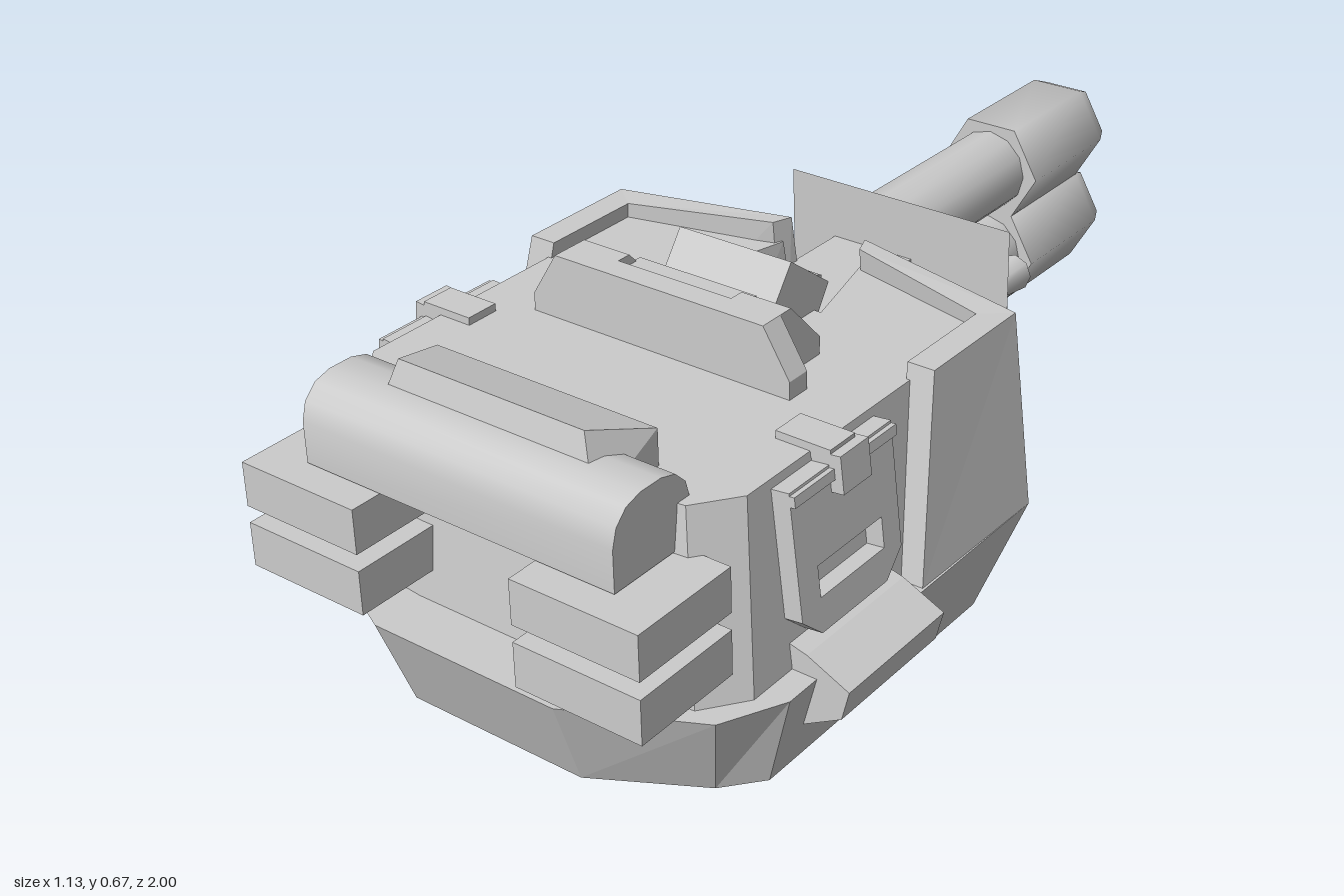
import * as THREE from 'three';
import { toCreasedNormals } from 'three/addons/utils/BufferGeometryUtils.js';

const grey = new THREE.MeshStandardMaterial({ color: 0xcccccc, flatShading: true });
const smoothGrey = new THREE.MeshStandardMaterial({ color: 0xcccccc });

export function createModel() {
  const model = new THREE.Group();

  function add(name, geometry, parent = model, material = grey) {
    const mesh = new THREE.Mesh(geometry, material);
    mesh.name = name;
    parent.add(mesh);
    return mesh;
  }

  // Box given by its limits on each axis
  function box(name, x0, x1, y0, y1, z0, z1, parent) {
    const g = new THREE.BoxGeometry(Math.abs(x1 - x0), y1 - y0, z1 - z0);
    g.translate((x0 + x1) / 2, (y0 + y1) / 2, (z0 + z1) / 2);
    return add(name, g, parent);
  }

  // Outline of [x, z] points set at a height
  const level = (pts, y) => pts.map(([x, z]) => [x, y, z]);
  const mirrored = (pts) => [...pts, ...pts.map(([x, z]) => [-x, z]).reverse()];

  // Closed solid between a lower and an upper ring of [x, y, z] points
  function loft(lower, upper) {
    let lo = lower.map((p) => new THREE.Vector3(...p));
    let up = upper.map((p) => new THREE.Vector3(...p));
    const flat = (ring) => ring.map((p) => new THREE.Vector2(p.x, -p.z));
    if (THREE.ShapeUtils.area(flat(lo)) < 0) {
      lo = lo.reverse();
      up = up.reverse();
    }
    const pos = [];
    const tri = (...ps) => ps.forEach((p) => pos.push(p.x, p.y, p.z));
    lo.forEach((p, i) => {
      const j = (i + 1) % lo.length;
      tri(p, lo[j], up[j]);
      tri(p, up[j], up[i]);
    });
    THREE.ShapeUtils.triangulateShape(flat(up), []).forEach(([a, b, c]) => tri(up[a], up[b], up[c]));
    THREE.ShapeUtils.triangulateShape(flat(lo), []).forEach(([a, b, c]) => tri(lo[c], lo[b], lo[a]));
    const g = new THREE.BufferGeometry();
    g.setAttribute('position', new THREE.Float32BufferAttribute(pos, 3));
    g.computeVertexNormals();
    return g;
  }

  // Profile of [z, y] points extruded along x, with an optional hole
  function extrudeX(pts, x0, x1, hole) {
    const flip = (list) => list.map(([z, y]) => new THREE.Vector2(-z, y));
    const shape = new THREE.Shape(flip(pts));
    if (hole) shape.holes.push(new THREE.Path(flip(hole)));
    const g = new THREE.ExtrudeGeometry(shape, { depth: x1 - x0, bevelEnabled: false });
    return g.rotateY(Math.PI / 2).translate(x0, 0, 0);
  }

  // Profile of [x, y] points extruded along z
  function extrudeZ(pts, z0, z1) {
    const shape = new THREE.Shape(pts.map(([x, y]) => new THREE.Vector2(x, y)));
    return new THREE.ExtrudeGeometry(shape, { depth: z1 - z0, bevelEnabled: false }).translate(0, 0, z0);
  }

  // Turned part pointing along -z; profile of [radius, distance]
  function turned(pts, sides, x, y) {
    const g = new THREE.LatheGeometry(pts.map((p) => new THREE.Vector2(...p)), sides, Math.PI / 2);
    g.rotateX(-Math.PI / 2).translate(x, y, 0);
    return toCreasedNormals(g, 1.1);
  }

  // Lower skirt, flaring upward
  add('lowerSkirt', loft(
    level(mirrored([[0.08, -0.04], [0.45, 0.06], [0.45, 0.7], [0.39, 0.77], [0.19, 0.88]]), 0),
    level(mirrored([[0.08, -0.17], [0.5, -0.04], [0.5, 0.71], [0.44, 0.83], [0.2, 0.95]]), 0.19)));

  // Upper hull with a notch for the guns
  add('upperHull', loft(
    level(mirrored([[0.14, 0.12], [0.09, -0.15], [0.45, -0.02], [0.45, 0.74], [0.39, 0.82], [0.2, 0.84]]), 0.19),
    level(mirrored([[0.14, 0.12], [0.09, -0.08], [0.41, 0.0], [0.41, 0.7], [0.35, 0.78], [0.2, 0.8]]), 0.545)));

  for (const s of [1, -1]) {
    const side = new THREE.Group();
    side.name = s > 0 ? 'leftSide' : 'rightSide';
    model.add(side);
    const flip = (pts) => pts.map(([x, ...rest]) => [s * x, ...rest]);

    // Front armour wrapping round the corner, its rim above the deck
    add('frontArmour', loft(
      level(flip([[0.085, -0.17], [0.5, -0.04], [0.495, 0.31], [0.43, 0.31], [0.43, 0.0], [0.1, -0.1]]), 0.19),
      flip([[0.085, 0.59, -0.1], [0.455, 0.575, -0.035], [0.455, 0.575, 0.23],
        [0.4, 0.575, 0.23], [0.4, 0.575, 0.01], [0.1, 0.59, -0.06]])), side);

    // Door leaning with the hull wall
    const door = new THREE.Group();
    door.name = 'sideDoor';
    door.position.set(s * 0.45, 0.2, 0);
    door.rotation.z = s * 0.113;
    side.add(door);
    const [a, b] = s > 0 ? [-0.01, 0.035] : [-0.035, 0.01];
    add('doorPanel', extrudeX(
      [[0.35, 0.33], [0.64, 0.33], [0.64, 0.09], [0.59, 0.045], [0.4, 0.045], [0.35, 0.09]], a, b,
      [[0.4, 0.11], [0.585, 0.11], [0.585, 0.17], [0.4, 0.17]]), door);
    box('doorTopStrip', 0, s * 0.045, 0.305, 0.325, 0.35, 0.64, door);
    box('doorLatch', 0, s * 0.06, 0.28, 0.35, 0.45, 0.53, door);
    box('latchStrap', s * 0.34, s * 0.45, 0.535, 0.56, 0.46, 0.53, side);

    // Stowage step over the skirt
    add('sideStep', extrudeZ(flip([[0.44, 0.24], [0.48, 0.23], [0.565, 0.19], [0.55, 0.13],
      [0.47, 0.085], [0.44, 0.1]]), 0.35, 0.635), side);

    // Stacked boxes at the rear of the hull
    for (const y of [0.25, 0.37]) box('rearBox', s * 0.17, s * 0.43, y, y + 0.087, 0.77, 1, side);

    // Braces on the hatch wall
    add('hatchBrace', extrudeX([[0.37, 0.54], [0.37, 0.67], [0.335, 0.67], [0.25, 0.58], [0.25, 0.54]],
      s > 0 ? 0.125 : -0.23, s > 0 ? 0.23 : -0.125), side);
  }

  // Rear stowage roll and its cover
  add('rearRoll', toCreasedNormals(extrudeX([[0.94, 0.46], [0.94, 0.54], [0.93, 0.575], [0.905, 0.6],
    [0.87, 0.61], [0.82, 0.61], [0.785, 0.6], [0.76, 0.575], [0.75, 0.54], [0.75, 0.46]],
    -0.335, 0.335), 0.7), model, smoothGrey);
  add('rollCover', loft(
    level([[-0.24, 0.71], [0.24, 0.71], [0.24, 0.87], [-0.24, 0.87]], 0.54),
    [[-0.24, 0.615, 0.71], [0.24, 0.615, 0.71], [0.2, 0.658, 0.84], [-0.2, 0.658, 0.84]]));

  // Hatch wall, hatch block and periscope on the deck
  add('hatchWall', extrudeZ([[-0.285, 0.54], [0.285, 0.54], [0.285, 0.58], [0.23, 0.67],
    [-0.23, 0.67], [-0.285, 0.58]], 0.365, 0.415));
  box('hatchBlock', -0.13, 0.13, 0.54, 0.65, 0.3, 0.37);
  add('periscope', extrudeX([[0.26, 0.575], [0.19, 0.67], [0.075, 0.585], [0.11, 0.53], [0.24, 0.53]],
    -0.125, 0.125));
  add('sightBar', extrudeX([[0.12, 0.53], [0.12, 0.59], [-0.03, 0.53], [-0.03, 0.47]], -0.035, 0.035));

  // Gun cradle in the notch, with the shield ahead of it
  box('gunCradle', -0.09, 0.09, 0.29, 0.49, -0.28, 0.13);
  const shield = [[-0.19, -0.26], [0.31, -0.26], [0.27, -0.34], [-0.16, -0.34]];
  add('gunShield', loft(
    shield.map(([x, z]) => [x, z < -0.3 ? 0.24 : 0.22, z]),
    shield.map(([x, z]) => [x, z < -0.3 ? 0.575 : 0.61, z < -0.3 ? -0.31 : -0.25])));
  add('shieldLip', extrudeX([[-0.25, 0.23], [-0.29, 0.18], [-0.335, 0.235]], -0.17, 0.28));

  // Twin stacked barrels with hollow six-sided muzzles
  for (const y of [0.505, 0.315]) {
    add('barrel', turned([[0, 0.28], [0.083, 0.28], [0.083, 0.7], [0, 0.7]], 12, 0, y), model, smoothGrey);
    add('muzzle', turned([[0.07, 0.685], [0.113, 0.685], [0.113, 0.955], [0.092, 1], [0.068, 1],
      [0.06, 0.86], [0, 0.86]], 6, 0, y), model, smoothGrey);
  }

  // Small secondary gun beside the barrels
  add('secondaryGun', turned([[0.025, 0.3], [0.026, 0.4], [0.038, 0.5], [0.024, 0.5], [0.02, 0.45], [0, 0.45]],
    8, 0.18, 0.39), model, smoothGrey);

  return model;
}
